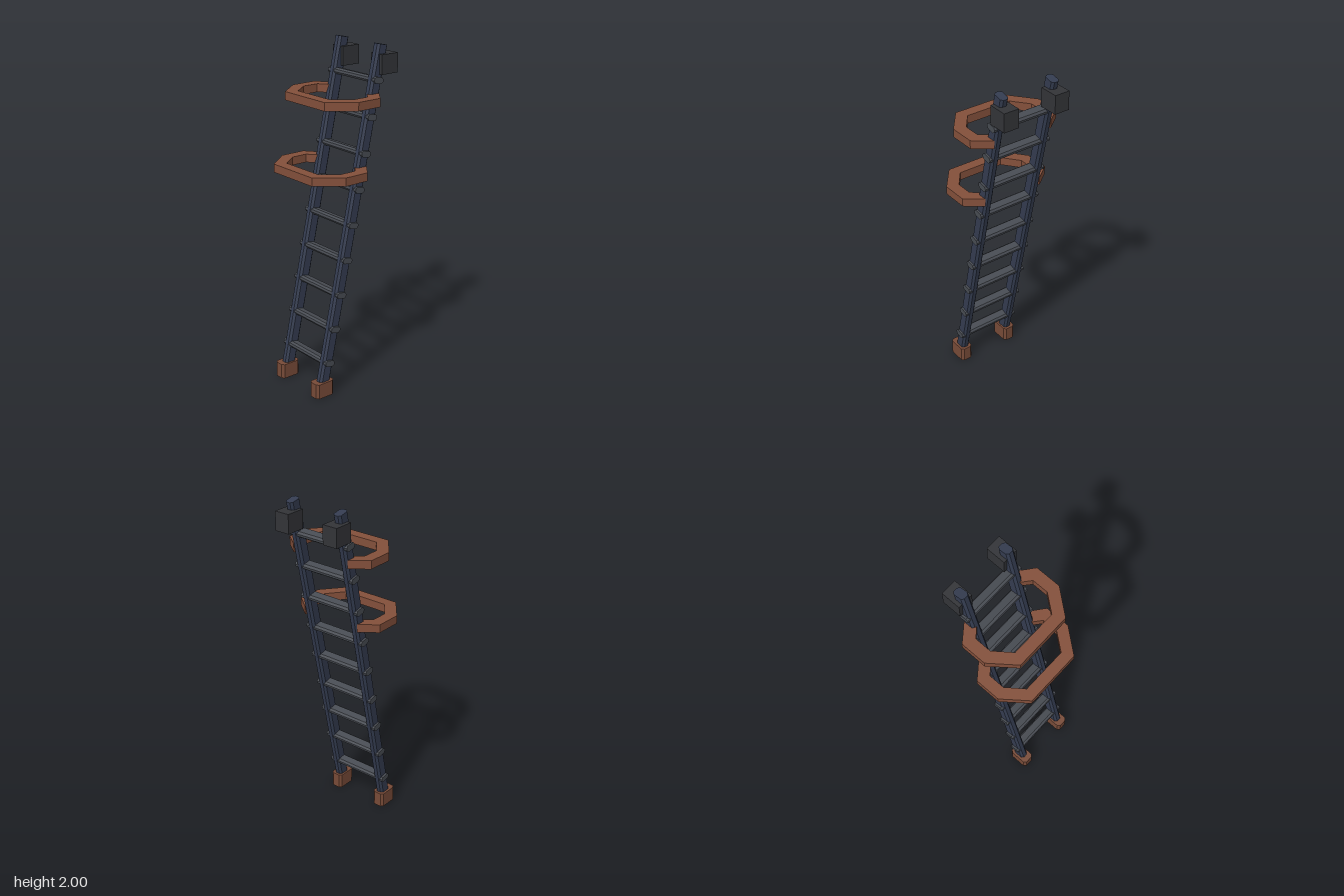
import * as THREE from 'three';

const mat = (color) => new THREE.MeshStandardMaterial({ color, flatShading: true });

// Rectangle with cut corners, centred on the origin
function cutRect(w, h, c) {
  const x = w / 2, y = h / 2;
  return new THREE.Shape([
    [x - c, -y], [x, -y + c], [x, y - c], [x - c, y],
    [-x + c, y], [-x, y - c], [-x, -y + c], [-x + c, -y],
  ].map(([a, b]) => new THREE.Vector2(a, b)));
}

// Extrusion standing on y = 0
function upright(shape, height) {
  const geo = new THREE.ExtrudeGeometry(shape, { depth: height, bevelEnabled: false });
  return geo.rotateX(-Math.PI / 2);
}

function add(parent, name, geo, material, x = 0, y = 0, z = 0) {
  const mesh = new THREE.Mesh(geo, material);
  mesh.name = name;
  mesh.position.set(x, y, z);
  parent.add(mesh);
  return mesh;
}

export function createModel() {
  const model = new THREE.Group();
  model.name = 'ladder';
  const railMat = mat(0x343c50);
  const rungMat = mat(0x484c53);
  const padMat = mat(0x333438);
  const hoopMat = mat(0x84503b);
  const footMat = mat(0x784b38);

  const lean = Math.atan(0.215);
  const footZ = 0.2275;
  const railX = 0.163;

  // Leaning frame: rails and rungs share its tilt
  const frame = new THREE.Group();
  frame.name = 'leaningFrame';
  frame.position.z = footZ;
  frame.rotation.x = -lean;
  model.add(frame);

  const railGeo = upright(cutRect(0.05, 0.073, 0.0125), 1.99);
  const footGeo = upright(cutRect(0.075, 0.125, 0.014), 0.09);
  const padGeo = new THREE.BoxGeometry(0.092, 0.11, 0.116);
  for (const [side, s] of [['left', 1], ['right', -1]]) {
    add(frame, side + 'Rail', railGeo, railMat, s * railX, 0.046);
    add(model, side + 'Foot', footGeo, footMat, s * 0.1645, 0, 0.2175);
    add(model, side + 'WallPad', padGeo, padMat, s * 0.1635, 1.885, -0.229);
  }

  // Rungs pass right through both rails
  const rungGeo = new THREE.ExtrudeGeometry(cutRect(0.065, 0.036, 0.011), { depth: 0.4, bevelEnabled: false });
  rungGeo.translate(0, 0, -0.2).rotateY(Math.PI / 2);
  for (let i = 1; i <= 9; i++) {
    add(frame, 'rung' + i, rungGeo, rungMat, 0, (i * 0.2) / Math.cos(lean), 0);
  }

  // Open safety hoops, given as left half outlines [x, z]
  const outer = [[0.187, -0.172], [0.285, -0.095], [0.285, 0.058], [0.172, 0.2]];
  const inner = [[0.14, 0.134], [0.217, 0.035], [0.217, -0.062], [0.15, -0.117]];
  const mirror = (pts) => pts.map(([x, z]) => [-x, z]).reverse();
  const outline = [...outer, ...mirror(outer), ...mirror(inner), ...inner];
  const hoopShape = new THREE.Shape(outline.map(([x, z]) => new THREE.Vector2(x, -z)));
  const hoopGeo = upright(hoopShape, 0.048);
  add(model, 'upperHoop', hoopGeo, hoopMat, 0, 1.678, 0);
  add(model, 'lowerHoop', hoopGeo, hoopMat, 0, 1.278, 0.085);

  return model;
}
